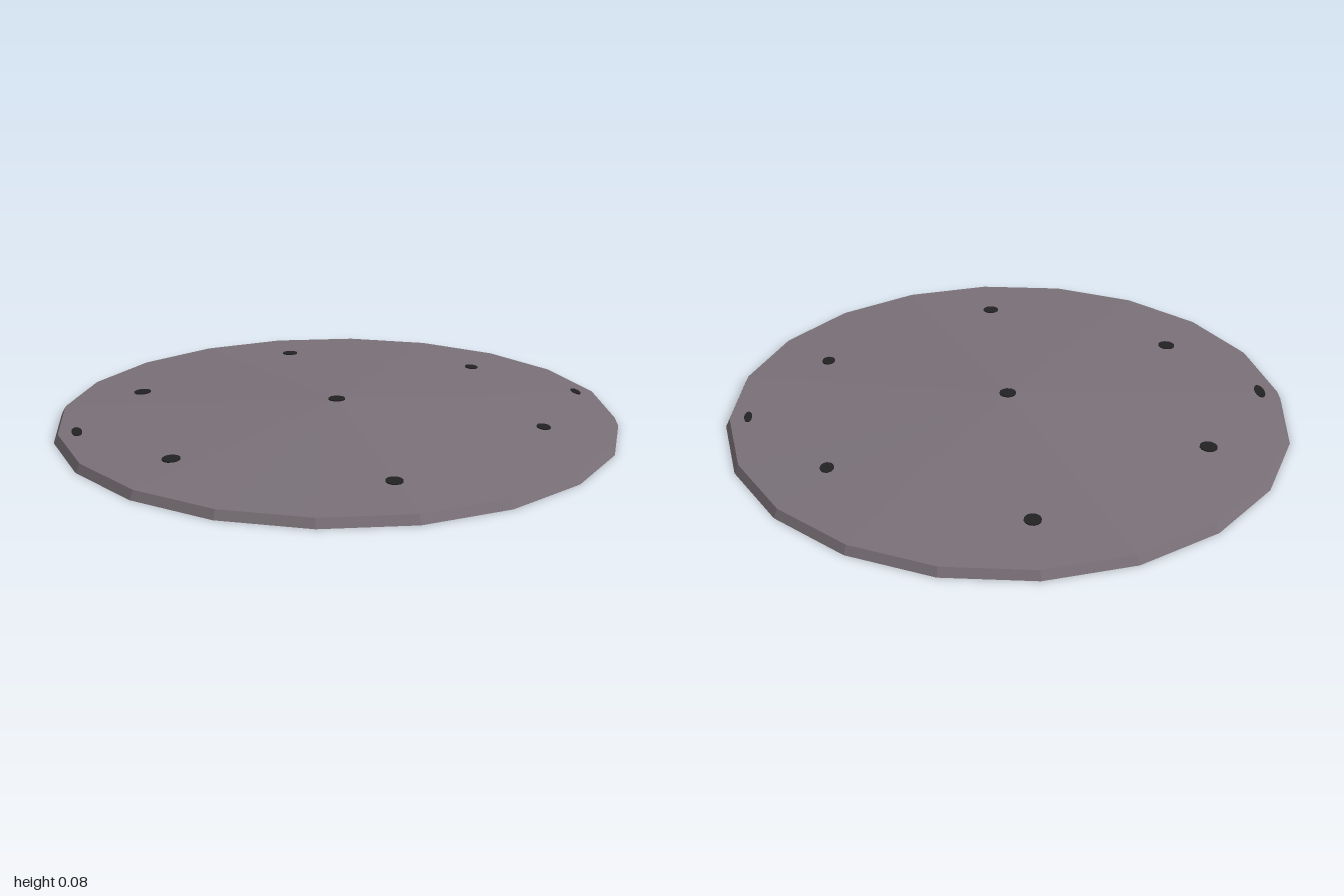
import * as THREE from 'three';

export function createModel() {
  const model = new THREE.Group();
  model.name = 'shallowDisc';

  const shellGrey = new THREE.MeshStandardMaterial({ color: 0x7a7178, side: THREE.DoubleSide, flatShading: true });
  shellGrey.name = 'warmGrey';
  const spotBlack = new THREE.MeshStandardMaterial({ color: 0x222222 });
  spotBlack.name = 'nearBlack';

  const SIDES = 20, RIM_R = 0.985, RIM_Y = 0.03, TOP_Y = 0.08;
  const slope = (TOP_Y - RIM_Y) / RIM_R;

  // Open-bottomed shell: sloping rim and low conical roof
  const addShell = (name, profile) => {
    const points = profile.map(([r, y]) => new THREE.Vector2(r, y));
    const mesh = new THREE.Mesh(new THREE.LatheGeometry(points, SIDES), shellGrey);
    mesh.name = name;
    model.add(mesh);
  };
  addShell('rim', [[1, 0], [RIM_R, RIM_Y]]);
  addShell('roof', [[RIM_R, RIM_Y], [0, TOP_Y]]);

  // Thin dark studs lying on the roof, showing on both sides: x, z, radius in x, radius in z
  const studs = [
    [0, 0, 0.03, 0.03],
    [-0.92, 0, 0.018, 0.043],
    [0.92, 0, 0.014, 0.034],
  ];
  for (const s of [-1, 1]) {
    studs.push([-0.005, s * 0.74, 0.029, 0.03]);
    studs.push([-0.648, s * 0.37, 0.031, 0.031]);
    studs.push([0.64, s * 0.373, 0.024, 0.029]);
  }
  const studGeometry = new THREE.CylinderGeometry(1, 1, 0.007, 12);
  const up = new THREE.Vector3(0, 1, 0);
  studs.forEach(([x, z, rx, rz], i) => {
    const r = Math.hypot(x, z);
    const stud = new THREE.Mesh(studGeometry, spotBlack);
    stud.name = `stud${i + 1}`;
    stud.position.set(x, TOP_Y - slope * r - (r ? 0 : 0.001), z);
    stud.scale.set(rx, 1, rz);
    if (r) {
      const normal = new THREE.Vector3(x / r * slope, 1, z / r * slope).normalize();
      stud.quaternion.setFromUnitVectors(up, normal);
    }
    model.add(stud);
  });

  return model;
}
